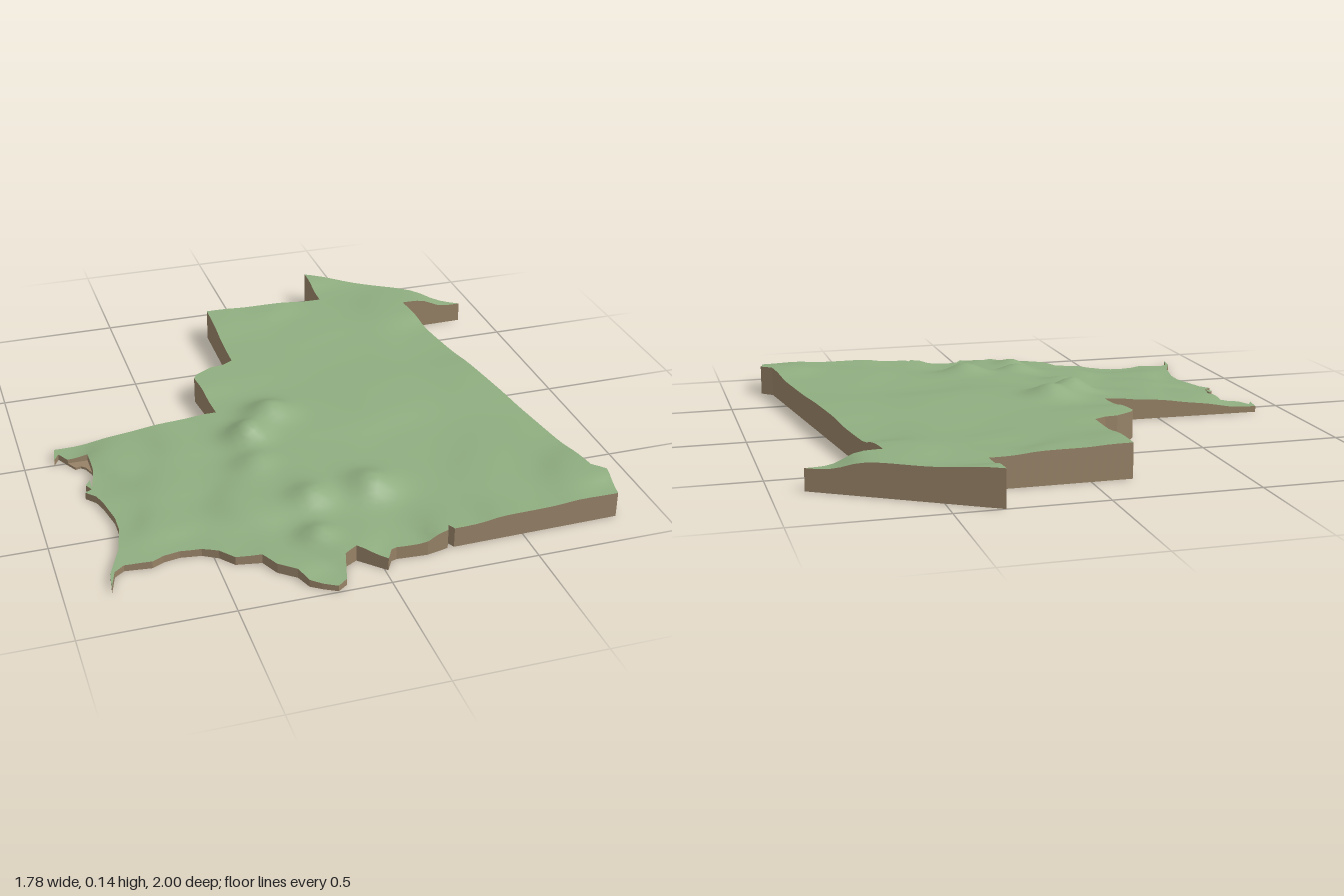
import * as THREE from 'three';

// Outline of the land (x, z), clockwise seen from above
const EAST = [
  [0.335, -1], [0.89, -0.65], [0.64, -0.645], [0.82, 0.7], [0.86, 0.74], [0.84, 0.865],
];
const SOUTH = [
  [0.257, 0.875], [0.245, 0.85], [0.235, 0.875], [0.16, 0.892], [0.055, 0.885], [0.035, 0.892],
  [0.01, 0.935], [-0.07, 0.855], [-0.115, 0.88], [-0.14, 0.97], [-0.175, 0.995], [-0.22, 0.97],
  [-0.255, 0.945], [-0.275, 0.89], [-0.33, 0.845], [-0.36, 0.78], [-0.445, 0.765],
  [-0.485, 0.715], [-0.535, 0.685], [-0.605, 0.675], [-0.66, 0.685], [-0.7, 0.705],
  [-0.79, 0.695], [-0.825, 0.72], [-0.85, 0.8],
];
const WEST = [
  [-0.84, 0.725], [-0.79, 0.61], [-0.765, 0.495], [-0.765, 0.425], [-0.785, 0.325], [-0.8, 0.28],
  [-0.83, 0.245], [-0.805, 0.23], [-0.82, 0.2], [-0.8, 0.17], [-0.803, 0.225], [-0.78, 0.125],
  [-0.78, 0.013], [-0.85, 0.013], [-0.875, -0.035], [-0.895, 0], [-0.885, -0.07],
];
const NORTH = [
  [-0.295, -0.055], [-0.305, -0.21], [-0.315, -0.3], [-0.3, -0.325], [-0.235, -0.365],
  [-0.19, -0.37], [-0.145, -0.395], [-0.14, -0.795], [0.335, -0.795],
];
const OUTLINE = [...EAST, ...SOUTH, ...WEST, ...NORTH];
const STEP = 0.045;

// Spot heights (x, z, height) blended into smooth terrain
const SPOTS = [
  [0.34, -1, 0.127], [0.89, -0.65, 0.075], [0.64, -0.645, 0.118], [0.335, -0.795, 0.105],
  [-0.14, -0.795, 0.12], [0.1, -0.8, 0.115], [0.2, -0.6, 0.1], [-0.145, -0.395, 0.1],
  [0.3, -0.35, 0.095], [0.67, -0.35, 0.09], [-0.3, -0.3, 0.1], [-0.295, -0.055, 0.085],
  [0.72, 0, 0.1], [0.3, 0, 0.1], [0.05, 0.1, 0.095], [0.77, 0.4, 0.095], [0.3, 0.4, 0.082],
  [0.55, 0.6, 0.09], [0.82, 0.72, 0.11], [0.84, 0.865, 0.09], [0.5, 0.87, 0.085],
  [0.25, 0.87, 0.072], [0.1, 0.89, 0.045], [0.01, 0.93, 0.045], [-0.07, 0.85, 0.06],
  [-0.18, 0.98, 0.02], [-0.3, 0.83, 0.035], [-0.45, 0.75, 0.03], [-0.6, 0.68, 0.025],
  [-0.85, 0.8, 0.02], [-0.77, 0.45, 0.025], [-0.8, 0.2, 0.025], [-0.89, -0.04, 0.022],
  [-0.68, 0.1, 0.05], [-0.5, 0.3, 0.055], [-0.4, 0.05, 0.068], [-0.3, 0.5, 0.068],
  [-0.6, 0.5, 0.04], [-0.05, 0.35, 0.085],
];
// Hills (x, z, added height, radius)
const HILLS = [
  [-0.12, 0.02, 0.05, 0.08], [-0.23, 0.13, 0.055, 0.07], [-0.25, 0.3, 0.025, 0.07],
  [0.08, 0.56, 0.045, 0.08], [-0.13, 0.56, 0.035, 0.07], [-0.17, 0.75, 0.03, 0.06],
];

function height(x, z) {
  let sum = 0, total = 0;
  for (const [sx, sz, h] of SPOTS) {
    const w = 1 / ((x - sx) ** 2 + (z - sz) ** 2 + 0.004) ** 2;
    sum += w * h;
    total += w;
  }
  let y = sum / total;
  for (const [hx, hz, h, r] of HILLS) y += h * Math.exp(-((x - hx) ** 2 + (z - hz) ** 2) / (r * r));
  return y;
}

const dist = (a, b) => Math.hypot(a[0] - b[0], a[1] - b[1]);
const mid = (a, b) => [(a[0] + b[0]) / 2, (a[1] + b[1]) / 2];
const outlineTriangles = () => {
  const pts = OUTLINE.map(([x, z]) => new THREE.Vector2(x, z));
  return THREE.ShapeUtils.triangulateShape(pts, []).map((t) => {
    const [a, b, c] = t.map((i) => OUTLINE[i]);
    const up = (b[1] - a[1]) * (c[0] - a[0]) - (b[0] - a[0]) * (c[1] - a[1]);
    return up > 0 ? [a, b, c] : [a, c, b];
  });
};

function geometry(positions, normals) {
  const g = new THREE.BufferGeometry();
  g.setAttribute('position', new THREE.Float32BufferAttribute(positions, 3));
  if (normals) g.setAttribute('normal', new THREE.Float32BufferAttribute(normals, 3));
  else g.computeVertexNormals();
  return g;
}

// Terrain: split every long edge at its middle, then raise the points
function terrainGeometry() {
  const pos = [], nor = [], stack = outlineTriangles();
  const e = 0.01;
  while (stack.length) {
    const [a, b, c] = stack.pop();
    const ab = dist(a, b), bc = dist(b, c), ca = dist(c, a);
    const longest = Math.max(ab, bc, ca);
    if (longest > STEP) {
      const [p, q, r] = longest === ab ? [a, b, c] : longest === bc ? [b, c, a] : [c, a, b];
      const m = mid(p, q);
      stack.push([p, m, r], [m, q, r]);
      continue;
    }
    for (const [x, z] of [a, b, c]) {
      pos.push(x, height(x, z), z);
      const n = new THREE.Vector3(
        height(x - e, z) - height(x + e, z), 2 * e, height(x, z - e) - height(x, z + e)).normalize();
      nor.push(n.x, n.y, n.z);
    }
  }
  return geometry(pos, nor);
}

// Cliff: vertical wall under the terrain edge
function cliffGeometry() {
  const pos = [];
  const wall = (a, b) => {
    if (dist(a, b) > STEP) {
      const m = mid(a, b);
      wall(a, m);
      wall(m, b);
      return;
    }
    const a0 = [a[0], 0, a[1]], b0 = [b[0], 0, b[1]];
    const a1 = [a[0], height(...a), a[1]], b1 = [b[0], height(...b), b[1]];
    pos.push(...b0, ...a0, ...a1, ...b0, ...a1, ...b1);
  };
  OUTLINE.forEach((p, i) => wall(p, OUTLINE[(i + 1) % OUTLINE.length]));
  return geometry(pos);
}

export function createModel() {
  const group = new THREE.Group();
  group.name = 'terrainSlab';
  const grass = new THREE.MeshStandardMaterial({ color: 0x8fad80 });
  grass.name = 'grass green';
  const earth = new THREE.MeshStandardMaterial({ color: 0x978267 });
  earth.name = 'earth brown';
  const add = (name, geo, mat) => {
    const mesh = new THREE.Mesh(geo, mat);
    mesh.name = name;
    group.add(mesh);
    return mesh;
  };

  add('terrain', terrainGeometry(), grass);
  add('cliff', cliffGeometry(), earth);

  // Flat underside
  const under = outlineTriangles().flatMap(([a, b, c]) => [a, c, b].flatMap(([x, z]) => [x, 0, z]));
  add('underside', geometry(under), earth);

  // Low bare ledge on the west coast
  const ledge = new THREE.Shape([
    [-0.78, 0.013], [-0.85, 0.013], [-0.83, 0.05], [-0.81, 0.045], [-0.795, 0.06], [-0.78, 0.1],
  ].map(([x, z]) => new THREE.Vector2(x, z)));
  const ledgeGeo = new THREE.ExtrudeGeometry(ledge, { depth: 0.009, bevelEnabled: false });
  ledgeGeo.rotateX(Math.PI / 2);
  add('coastLedge', ledgeGeo, earth).position.y = 0.009;

  return group;
}
